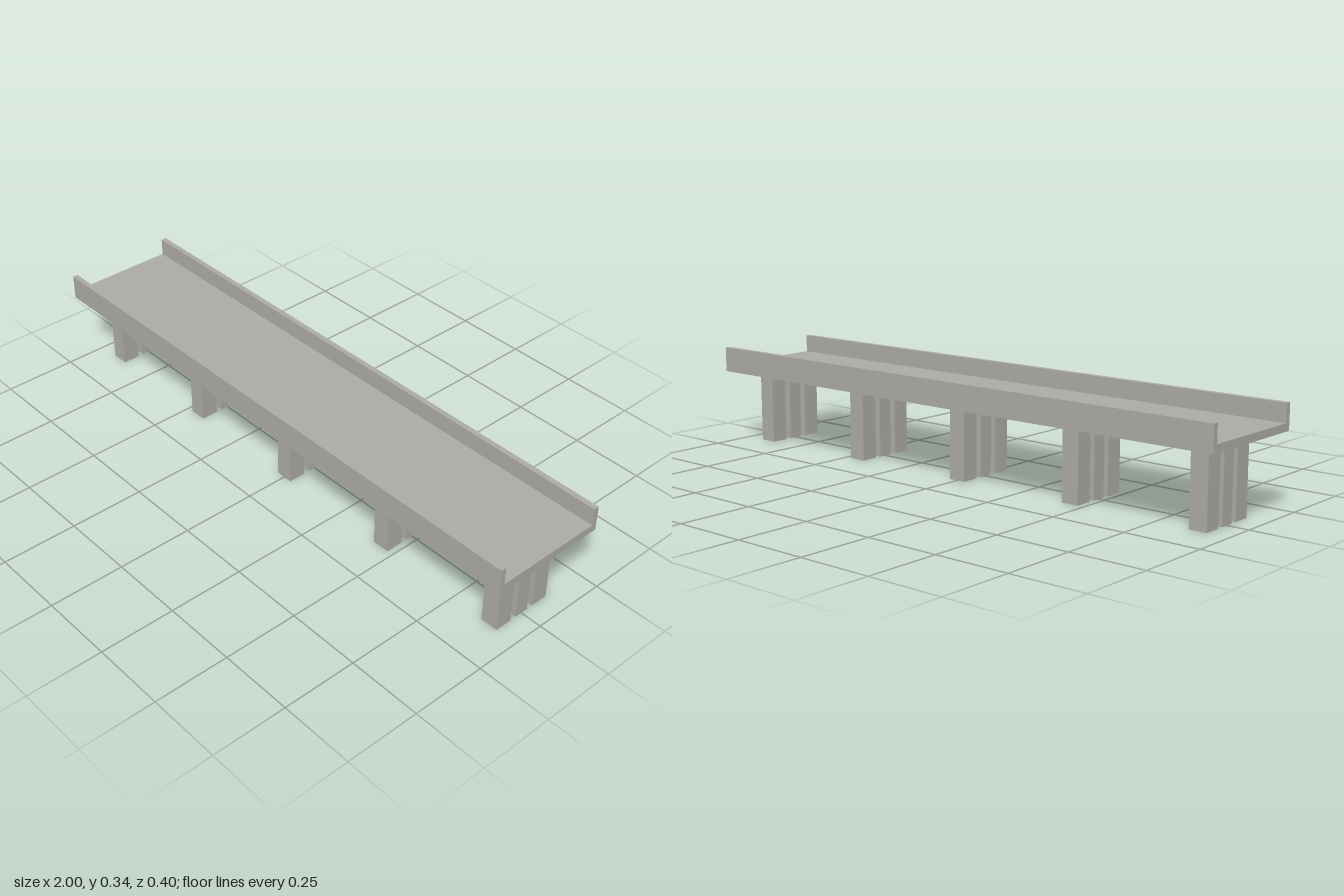
import * as THREE from 'three';

export function createModel() {
  const bridge = new THREE.Group();
  bridge.name = 'bridge';
  const concrete = new THREE.MeshStandardMaterial({ color: 0xaba9a3 });
  concrete.name = 'concrete';

  const length = 2, halfWidth = 0.2, wall = 0.018;
  const deckBottom = 0.251, deckTop = 0.276, wallTop = 0.335;

  // Deck with a parapet on each side: a U profile swept along x
  const profile = new THREE.Shape([
    [-halfWidth, deckBottom], [halfWidth, deckBottom],
    [halfWidth, wallTop], [halfWidth - wall, wallTop],
    [halfWidth - wall, deckTop], [-halfWidth + wall, deckTop],
    [-halfWidth + wall, wallTop], [-halfWidth, wallTop],
  ].map(([z, y]) => new THREE.Vector2(z, y)));
  const deckGeometry = new THREE.ExtrudeGeometry(profile, { depth: length, bevelEnabled: false });
  deckGeometry.translate(0, 0, -length / 2).rotateY(Math.PI / 2);
  const deck = new THREE.Mesh(deckGeometry, concrete);
  deck.name = 'deck';
  bridge.add(deck);

  // Five piers, each made of three columns with a narrower one in the middle
  const columns = [
    { name: 'frontColumn', z: 0.0755, depth: 0.059 },
    { name: 'middleColumn', z: 0, depth: 0.049 },
    { name: 'backColumn', z: -0.0755, depth: 0.059 },
  ];
  for (let i = -2; i <= 2; i++) {
    const pier = new THREE.Group();
    pier.name = 'pier';
    pier.position.x = i * 0.449;
    for (const { name, z, depth } of columns) {
      const column = new THREE.Mesh(new THREE.BoxGeometry(0.059, deckBottom, depth), concrete);
      column.name = name;
      column.position.set(0, deckBottom / 2, z);
      pier.add(column);
    }
    bridge.add(pier);
  }
  return bridge;
}
